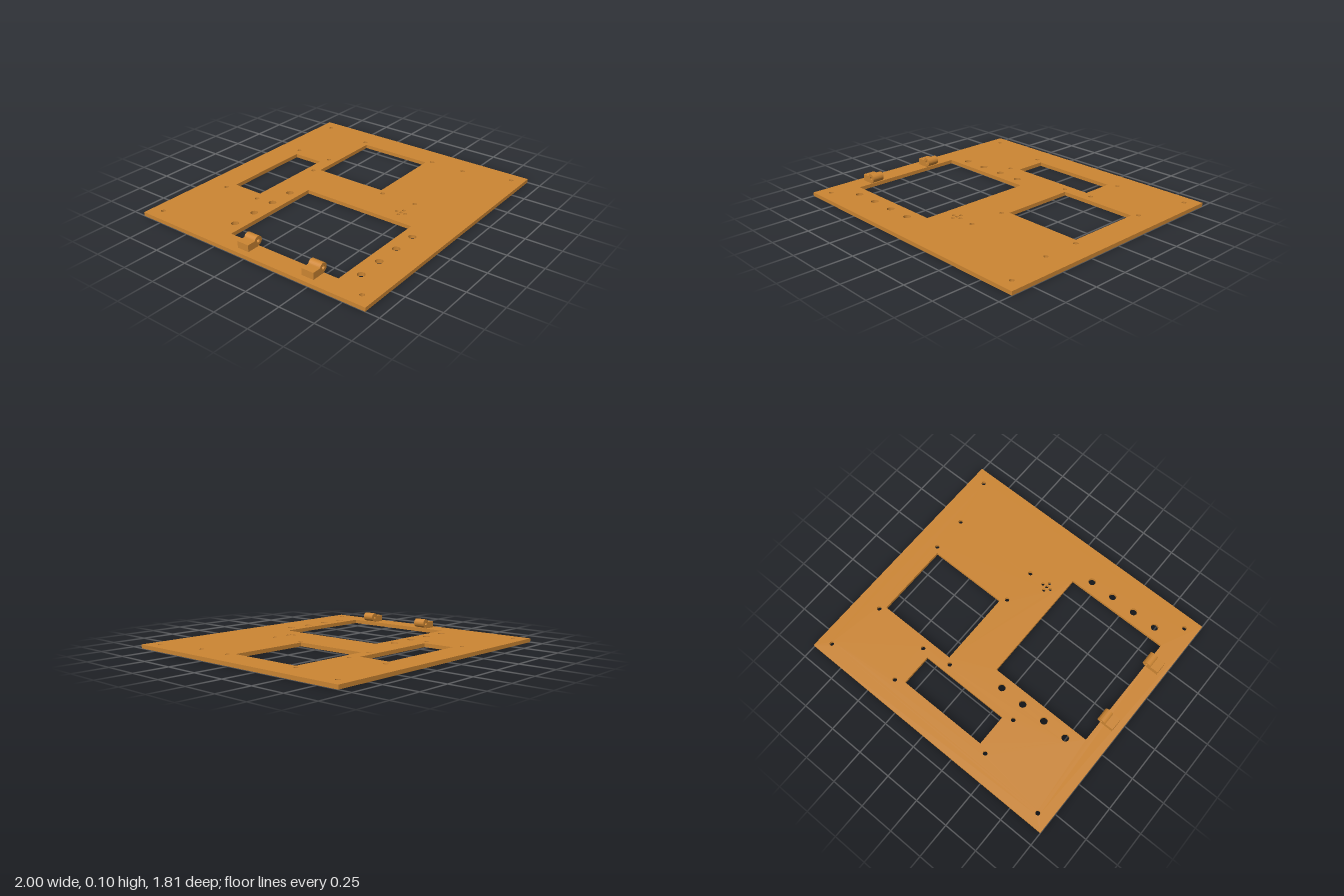
import * as THREE from 'three';
import { toCreasedNormals, mergeGeometries } from 'three/addons/utils/BufferGeometryUtils.js';

const T = 0.027;       // panel thickness
const POCKET = 0.018;  // depth of the recess in the underside

// Outlines are drawn in plan as (x, -z)
function rect(Type, x0, x1, z0, z1) {
  return new Type([[x0, -z1], [x1, -z1], [x1, -z0], [x0, -z0]].map(p => new THREE.Vector2(...p)));
}

function round(x, z, r) {
  return new THREE.Path().absarc(x, -z, r, 0, Math.PI * 2, true);
}

// Vertical faces along an outline; holes run clockwise, so they face inward
function wall(path, y0, y1, isHole) {
  const pts = path.getPoints(10);
  if (pts[0].distanceTo(pts[pts.length - 1]) < 1e-6) pts.pop();
  if (THREE.ShapeUtils.isClockWise(pts) !== isHole) pts.reverse();
  const pos = [];
  pts.forEach((a, i) => {
    const b = pts[(i + 1) % pts.length];
    pos.push(a.x, a.y, y0, b.x, b.y, y0, b.x, b.y, y1);
    pos.push(a.x, a.y, y0, b.x, b.y, y1, a.x, a.y, y1);
  });
  const g = new THREE.BufferGeometry();
  g.setAttribute('position', new THREE.Float32BufferAttribute(pos, 3));
  return g;
}

// Horizontal face at a given height, facing up or down
function face(shape, y, down) {
  const g = new THREE.ShapeGeometry(shape, 10).toNonIndexed();
  g.deleteAttribute('uv');
  g.deleteAttribute('normal');
  g.translate(0, 0, y);
  if (down) {
    const p = g.attributes.position;
    for (let i = 0; i < p.count; i += 3) {
      const b = new THREE.Vector3().fromBufferAttribute(p, i + 1);
      const c = new THREE.Vector3().fromBufferAttribute(p, i + 2);
      p.setXYZ(i + 1, c.x, c.y, c.z);
      p.setXYZ(i + 2, b.x, b.y, b.z);
    }
  }
  return g;
}

function panelGeometry() {
  const outline = [-1, 1, -0.905, 0.905];
  const recess = [0.217, 0.8, 0.305, 0.625];
  const holes = [
    rect(THREE.Path, -0.333, 0.333, -0.705, -0.475), // display window
    rect(THREE.Path, 0.217, 0.8, -0.38, 0.165),      // square window
    rect(THREE.Path, -0.858, -0.09, -0.243, 0.612),  // large opening
  ];
  // Corner screws and display screws
  for (const s of [-1, 1]) {
    for (const z of [-0.818, 0.818]) holes.push(round(s * 0.91, z, 0.016));
    for (const z of [-0.735, -0.443]) holes.push(round(s * 0.4, z, 0.016));
  }
  // Screws beside the square window and the recess
  for (const x of [0.182, 0.834])
    for (const z of [-0.417, 0.203, 0.465]) holes.push(round(x, z, 0.016));
  // Rows of larger holes above and below the large opening
  for (let i = 0; i < 4; i++)
    for (const z of [-0.318, 0.692]) holes.push(round(-0.745 + i * 0.1817, z, 0.026));
  // Cross of small sound holes
  for (const [dx, dz] of [[0, 0], [1, 0], [-1, 0], [0, 1], [0, -1]])
    holes.push(round(0.027 + dx * 0.033, 0.457 + dz * 0.033, 0.012));

  const top = rect(THREE.Shape, ...outline);
  top.holes = holes;
  const bottom = rect(THREE.Shape, ...outline);
  const pocket = rect(THREE.Path, ...recess);
  bottom.holes = [...holes, pocket];

  const geo = mergeGeometries([
    face(top, T, false),
    face(bottom, 0, true),
    face(rect(THREE.Shape, ...recess), POCKET, true),
    wall(top, 0, T, false),
    wall(pocket, 0, POCKET, true),
    ...holes.map(h => wall(h, 0, T, true)),
  ]);
  geo.rotateX(-Math.PI / 2);
  return toCreasedNormals(geo, 0.7);
}

// Hinge: a block running into a round knuckle with a pin hole
function hingeGeometry() {
  const cx = -0.866, cy = 0.065, r = 0.032, blockTop = 0.074;
  const s = new THREE.Shape();
  s.moveTo(-0.957, T);
  s.lineTo(cx, T);
  s.lineTo(cx, cy - r);
  s.absarc(cx, cy, r, -Math.PI / 2, Math.PI - Math.asin((blockTop - cy) / r), false);
  s.lineTo(-0.957, blockTop);
  s.closePath();
  s.holes.push(new THREE.Path().absarc(cx, cy, 0.012, 0, Math.PI * 2, true));
  const geo = new THREE.ExtrudeGeometry(s, { depth: 0.088, bevelEnabled: false, curveSegments: 16 });
  return toCreasedNormals(geo, 0.7);
}

export function createModel() {
  const group = new THREE.Group();
  const orange = new THREE.MeshStandardMaterial({ color: 0xcd8633 });
  orange.name = 'orange plastic';

  const panel = new THREE.Mesh(panelGeometry(), orange);
  panel.name = 'panel';
  group.add(panel);

  const hingeGeo = hingeGeometry();
  [['backHinge', -0.089], ['frontHinge', 0.42]].forEach(([name, z]) => {
    const hinge = new THREE.Mesh(hingeGeo, orange);
    hinge.name = name;
    hinge.position.z = z;
    group.add(hinge);
  });
  return group;
}
